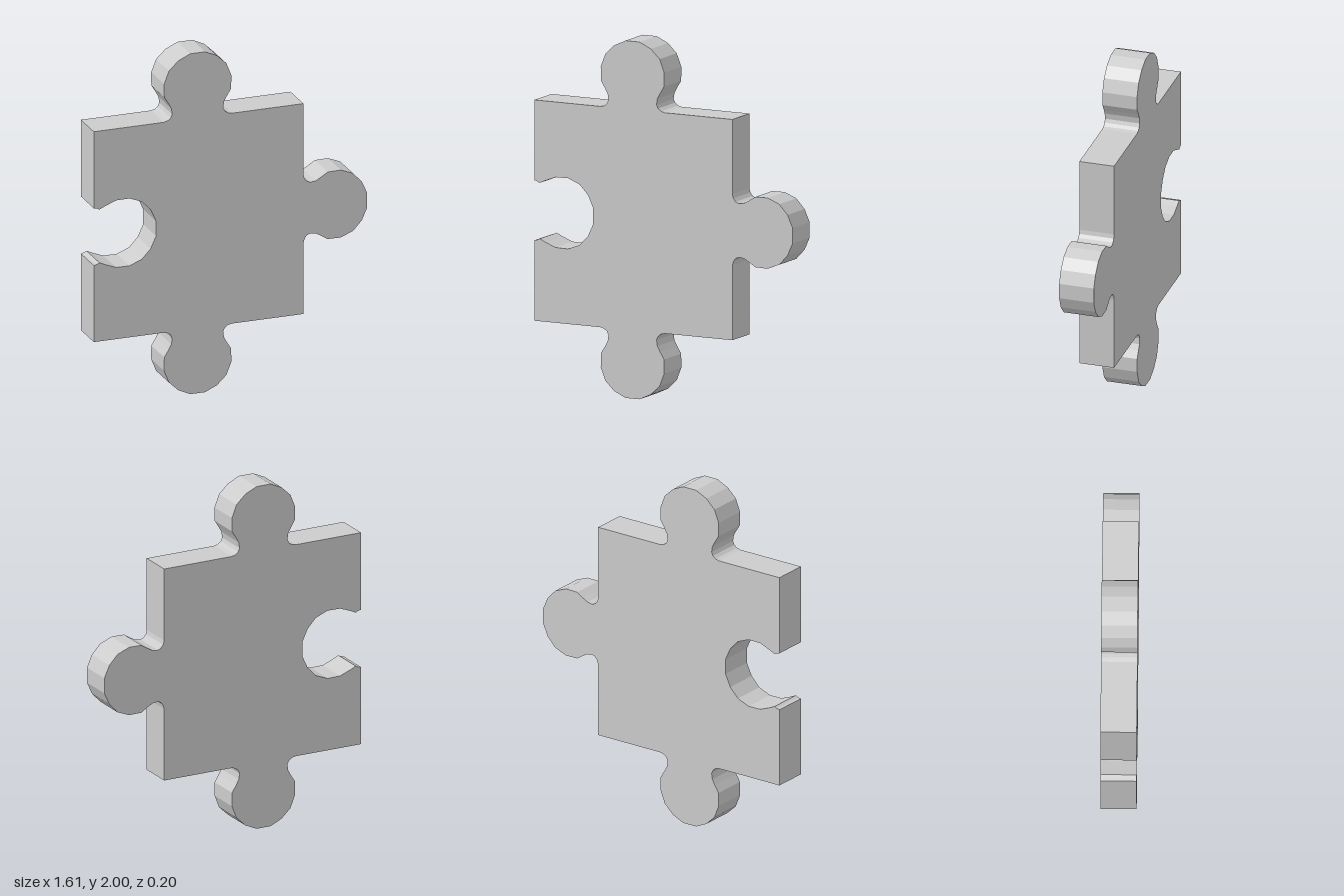
import * as THREE from 'three';

// Half profiles as [distance from the centre line, distance outward from the edge]
const knob = [[0.197, 0.145], [0.198, 0.223], [0.169, 0.296], [0.114, 0.348], [0.044, 0.38]];
const tabHalf = [[0.2, 0], [0.177, 0.006], [0.159, 0.02], [0.15, 0.04], [0.155, 0.074], [0.172, 0.105], ...knob];
const socketHalf = [[0.168, 0], [0.164, 0.018], [0.156, 0.033], [0.173, 0.07],
  ...knob.map(([u, v]) => [u, v - 0.013])];

// Full profile running from -u to +u
const mirrored = (half) => [...half.map(([u, v]) => [-u, v]), ...half.slice().reverse()];

export function createModel() {
  const group = new THREE.Group();
  const left = -0.805, right = 0.43, bottom = 0.382, top = 1.618;
  const cx = -0.193, cy = 1;
  const tab = mirrored(tabHalf), socket = mirrored(socketHalf);

  // Outline, counter-clockwise from the lower left corner
  const outline = [
    [left, bottom],
    ...tab.map(([u, v]) => [cx + u, bottom - v * 1.005]),
    [right, bottom],
    ...tab.map(([u, v]) => [right + v * 0.987, cy + u]),
    [right, top],
    ...tab.map(([u, v]) => [cx - u, top + v * 1.005]),
    [left, top],
    ...socket.map(([u, v]) => [left + v, cy - u]),
  ].map(([x, y]) => new THREE.Vector2(x, y));

  const geometry = new THREE.ExtrudeGeometry(new THREE.Shape(outline), {
    depth: 0.2, bevelEnabled: false, steps: 1,
  });
  geometry.translate(0, 0, -0.1);

  const piece = new THREE.Mesh(geometry,
    new THREE.MeshStandardMaterial({ color: 0xcccccc, flatShading: true }));
  piece.name = 'puzzlePiece';
  group.add(piece);
  return group;
}
